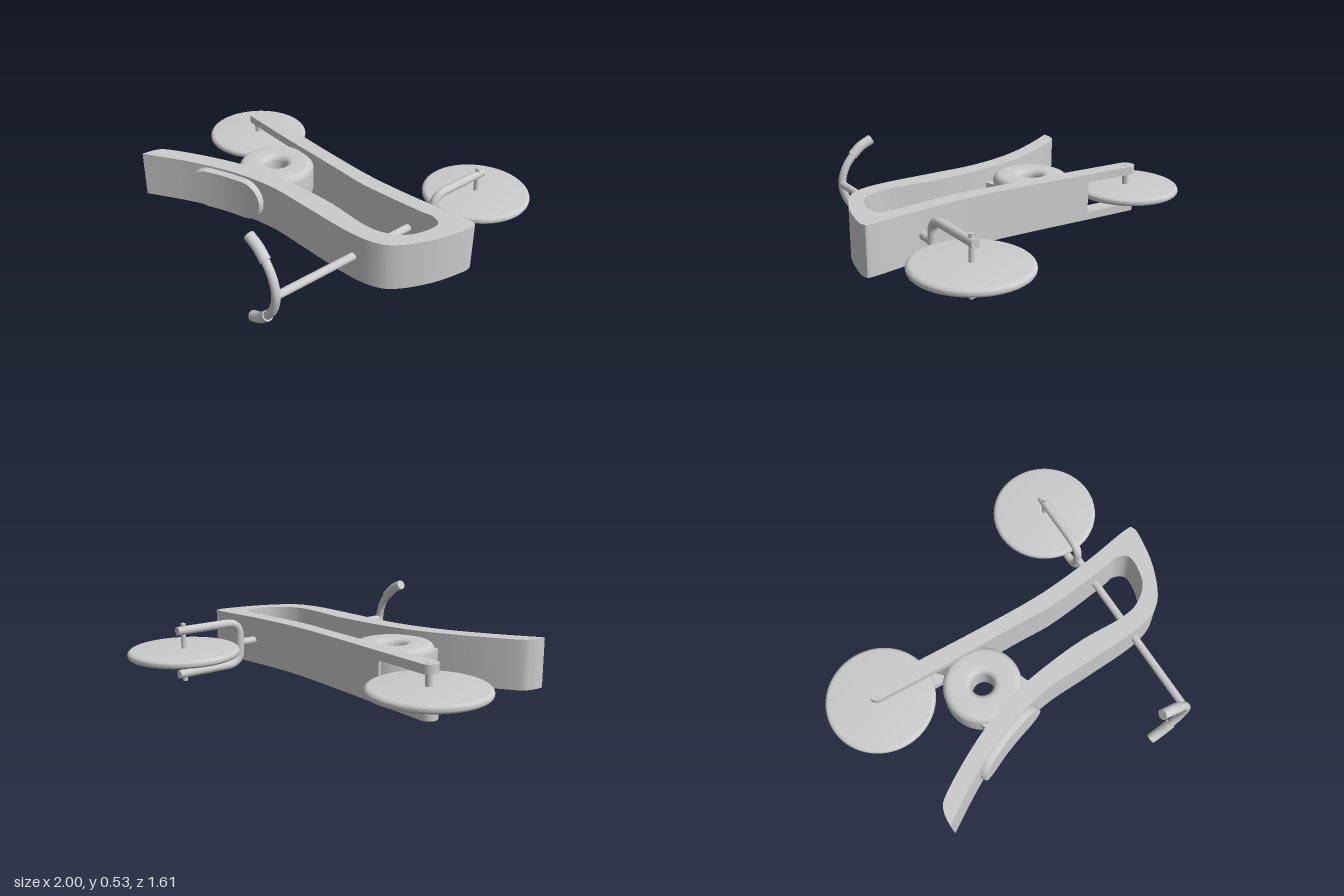
import * as THREE from 'three';
import { toCreasedNormals } from 'three/addons/utils/BufferGeometryUtils.js';

const MID = 0.27; // centre plane of the bike, which lies on its side
const mat = new THREE.MeshStandardMaterial({ color: 0xcccccc, side: THREE.DoubleSide });
const v2 = (pts) => pts.map(([a, b]) => new THREE.Vector2(a, b));

export function createModel() {
  const model = new THREE.Group();

  function add(name, geometry, x = 0, y = 0, z = 0, parent = model) {
    const mesh = new THREE.Mesh(geometry, mat);
    mesh.name = name;
    mesh.position.set(x, y, z);
    parent.add(mesh);
    return mesh;
  }

  // Plan outline (x, z) extruded downwards from a top height
  function slab(name, shape, top, depth) {
    const g = new THREE.ExtrudeGeometry(shape, { depth, bevelEnabled: false, curveSegments: 6 });
    g.rotateX(Math.PI / 2);
    add(name, toCreasedNormals(g, 0.5), 0, top, 0);
  }

  // Round tube with flat end caps
  function tube(name, curve, r, segments = 40) {
    const group = new THREE.Group();
    group.name = name;
    add(name + 'Tube', new THREE.TubeGeometry(curve, segments, r, 20), 0, 0, 0, group);
    for (const end of [0, 1]) {
      const p = curve.getPointAt(end);
      const dir = curve.getTangentAt(end).multiplyScalar(end ? 1 : -1);
      const cap = add(name + 'Cap', new THREE.CircleGeometry(r, 20), p.x, p.y, p.z, group);
      cap.quaternion.setFromUnitVectors(new THREE.Vector3(0, 0, 1), dir);
    }
    model.add(group);
  }

  // Frame: one swept band, from the swingarm round the nose to the tail
  const frame = new THREE.Shape();
  frame.moveTo(-0.37, -0.33);
  frame.splineThru(v2([[-0.29, -0.30], [0.03, -0.176], [0.24, -0.095], [0.57, -0.015], [0.67, 0.005],
    [0.712, 0.07], [0.64, 0.195], [0.53, 0.247], [0.40, 0.235], [0.14, 0.135], [-0.18, 0.058],
    [-0.4, 0.037], [-0.66, 0.057], [-0.9, 0.103], [-0.965, 0.145], [-1, 0.215]]));
  frame.splineThru(v2([[-0.72, 0.158], [-0.45, 0.133], [-0.18, 0.16], [0.08, 0.24], [0.35, 0.325],
    [0.51, 0.348], [0.62, 0.312], [0.75, 0.187], [0.84, 0.05], [0.87, -0.025], [0.83, -0.057],
    [0.56, -0.108], [0.24, -0.19], [-0.08, -0.31], [-0.42, -0.45]]));
  frame.closePath();
  slab('frame', frame, 0.4, 0.26);

  // Two plates that carry the rear wheel
  const arm = new THREE.Shape();
  arm.moveTo(-0.37, -0.33);
  arm.lineTo(-0.42, -0.45);
  arm.lineTo(-0.692, -0.561);
  arm.absarc(-0.71, -0.52, 0.045, -1.17, -4.31, true);
  arm.closePath();
  slab('upperRearArm', arm, 0.4, 0.045);
  slab('lowerRearArm', arm, 0.185, 0.045);

  // Disc wheels with rounded rims
  const rim = [[0, -0.021]];
  for (let i = 0; i <= 10; i++) {
    const a = -Math.PI / 2 + (Math.PI * i) / 10;
    rim.push([0.268 + 0.023 * Math.cos(a), 0.021 * Math.sin(a)]);
  }
  rim.push([0, 0.021]);
  for (const [name, x] of [['rearWheel', -0.71], ['frontWheel', 0.705]]) {
    add(name, toCreasedNormals(new THREE.LatheGeometry(v2(rim), 72), 0.5), x, MID, -0.52);
  }
  add('rearAxle', new THREE.CylinderGeometry(0.018, 0.018, 0.264, 20), -0.71, MID, -0.52);
  add('frontAxle', new THREE.CylinderGeometry(0.013, 0.013, 0.31, 20), 0.705, MID, -0.52);

  // Ring-shaped motor with rounded edges and a flared bore
  const motor = [];
  const corners = [[0.168, -0.06, 0.04, -90], [0.168, 0.06, 0.04, 0], [0.095, 0.065, 0.035, 90], [0.095, -0.065, 0.035, 180]];
  for (const [cx, cy, r, start] of corners) {
    for (let i = 0; i <= 6; i++) {
      const a = THREE.MathUtils.degToRad(start + i * 15);
      motor.push([cx + r * Math.cos(a), cy + r * Math.sin(a)]);
    }
  }
  motor.push(motor[0]);
  add('motor', toCreasedNormals(new THREE.LatheGeometry(v2(motor), 60), 0.5), -0.333, MID, -0.13);
  add('motorMount', new THREE.BoxGeometry(0.335, 0.1, 0.09), -0.333, MID, 0.01);

  // Seat: rounded pad, curved along its length
  const seat = new THREE.BoxGeometry(2, 2, 2, 48, 1, 2);
  const pos = seat.attributes.position;
  const half = 0.235, cap = 0.117;
  for (let i = 0; i < pos.count; i++) {
    const u = Math.sin((pos.getX(i) * Math.PI) / 2) * half;
    const over = Math.max(0, Math.abs(u) - (half - cap));
    const h = Math.sqrt(Math.max(0, cap * cap - over * over));
    const inset = pos.getZ(i) > 0.5 ? 0.95 : 1;
    const x = -0.475 + u * (inset < 1 ? 0.975 : 1);
    const z = 0.152 + 0.34 * (x + 0.46) ** 2 + pos.getZ(i) * 0.018;
    pos.setXYZ(i, x, MID + pos.getY(i) * h * inset, z);
  }
  add('seat', toCreasedNormals(seat, 0.5));

  // Steering coordinates: s runs up the column from the front axle, t across it
  const P = (s, t, y) => new THREE.Vector3(0.705 - 0.341 * s + 0.94 * t, MID + y, -0.52 + 0.94 * s + 0.341 * t);
  tube('steeringColumn', new THREE.LineCurve3(P(0.345, 0, 0), P(1.385, 0, 0)), 0.021, 1);

  // U-shaped front fork
  const fork = new THREE.CurvePath();
  const w = 0.116;
  fork.add(new THREE.LineCurve3(P(-0.035, 0, -w), P(0.26, 0, -w)));
  fork.add(new THREE.QuadraticBezierCurve3(P(0.26, 0, -w), P(0.345, 0, -w), P(0.345, 0, -0.04)));
  fork.add(new THREE.LineCurve3(P(0.345, 0, -0.04), P(0.345, 0, 0.04)));
  fork.add(new THREE.QuadraticBezierCurve3(P(0.345, 0, 0.04), P(0.345, 0, w), P(0.26, 0, w)));
  fork.add(new THREE.LineCurve3(P(0.26, 0, w), P(-0.035, 0, w)));
  tube('frontFork', fork, 0.023, 80);

  // Swept handlebar with thicker grips at both ends
  const bar = (pts) => new THREE.CatmullRomCurve3(pts.map(([t, y]) => P(1.385, t, y)));
  tube('handlebar', bar([[-0.085, -0.175], [-0.025, -0.095], [0, 0], [-0.025, 0.095], [-0.085, 0.175]]), 0.022);
  for (const side of [-1, 1]) {
    tube(side > 0 ? 'upperGrip' : 'lowerGrip',
      bar([[-0.07, 0.16], [-0.125, 0.207], [-0.19, 0.238]].map(([t, y]) => [t, y * side])), 0.028, 16);
  }

  return model;
}
